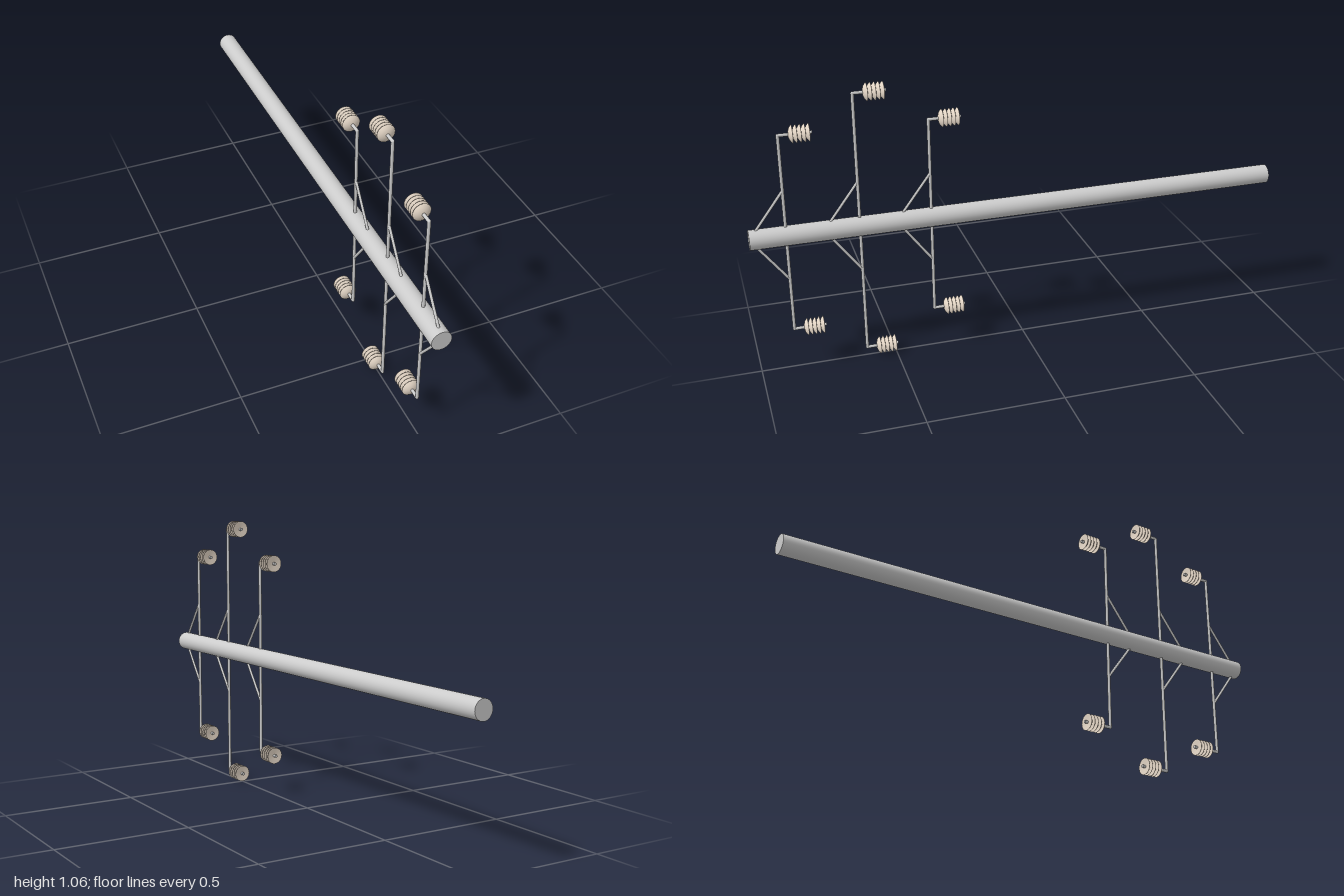
import * as THREE from 'three';

const AXIS_Y = 0.534;
const POLE_R = 0.036;
const ARM_R = 0.006;

const grey = new THREE.MeshStandardMaterial({ color: 0xcccccc });
const ceramic = new THREE.MeshStandardMaterial({ color: 0xe6d8c8, side: THREE.DoubleSide });

// Round bar between two points in the x = 0 plane, given as [y, z]
function bar(name, [y0, z0], [y1, z1], radius, sides = 12) {
  const a = new THREE.Vector3(0, y0, z0);
  const dir = new THREE.Vector3(0, y1, z1).sub(a);
  const mesh = new THREE.Mesh(new THREE.CylinderGeometry(radius, radius, dir.length(), sides), grey);
  mesh.position.copy(a).addScaledVector(dir, 0.5);
  mesh.quaternion.setFromUnitVectors(new THREE.Vector3(0, 1, 0), dir.normalize());
  mesh.name = name;
  return mesh;
}

// Stack of thin bell-shaped sheds whose rims point away from the arm
function insulatorGeometry() {
  const sheds = 5, pitch = 0.0145, core = 0.01, rim = 0.032;
  const points = [new THREE.Vector2(0.004, 0)];
  for (let i = 0; i < sheds; i++) {
    const t = i * pitch;
    points.push(
      new THREE.Vector2(core, t),
      new THREE.Vector2(0.022, t + 0.004),
      new THREE.Vector2(rim, t + 0.012),
      new THREE.Vector2(rim, t + 0.0135),
      new THREE.Vector2(core, t + 0.0095),
    );
  }
  points.push(new THREE.Vector2(0.004, sheds * pitch - 0.004));
  // Profile runs along -z; reversed so the faces look outwards
  return new THREE.LatheGeometry(points, 24).rotateX(-Math.PI / 2);
}

export function createModel() {
  const model = new THREE.Group();
  const shedStack = insulatorGeometry();

  // Main pole lying along z
  model.add(bar('pole', [AXIS_Y, -1], [AXIS_Y, 1], POLE_R, 32));

  // Three crossarms; the middle one is longer
  for (const [z, half] of [[0.87, 0.376], [0.608, 0.5], [0.346, 0.376]]) {
    const crossarm = new THREE.Group();
    crossarm.name = 'crossarm';
    crossarm.add(bar('armBar', [AXIS_Y - half, z], [AXIS_Y + half, z], ARM_R));

    for (const side of [-1, 1]) {
      const tipY = AXIS_Y + side * half;

      // Rounded corner and pin carrying the insulator
      const elbow = new THREE.Mesh(new THREE.SphereGeometry(ARM_R, 12, 8), grey);
      elbow.position.set(0, tipY, z);
      elbow.name = 'elbow';
      crossarm.add(elbow, bar('insulatorPin', [tipY, z], [tipY, z - 0.117], ARM_R));

      const insulator = new THREE.Mesh(shedStack, ceramic);
      insulator.position.set(0, tipY, z - 0.036);
      insulator.name = 'insulator';
      crossarm.add(insulator);

      // Diagonal brace from pole to arm
      crossarm.add(bar('brace',
        [AXIS_Y + side * 0.03, z + 0.106],
        [AXIS_Y + side * 0.172, z], 0.005));
    }
    model.add(crossarm);
  }
  return model;
}
